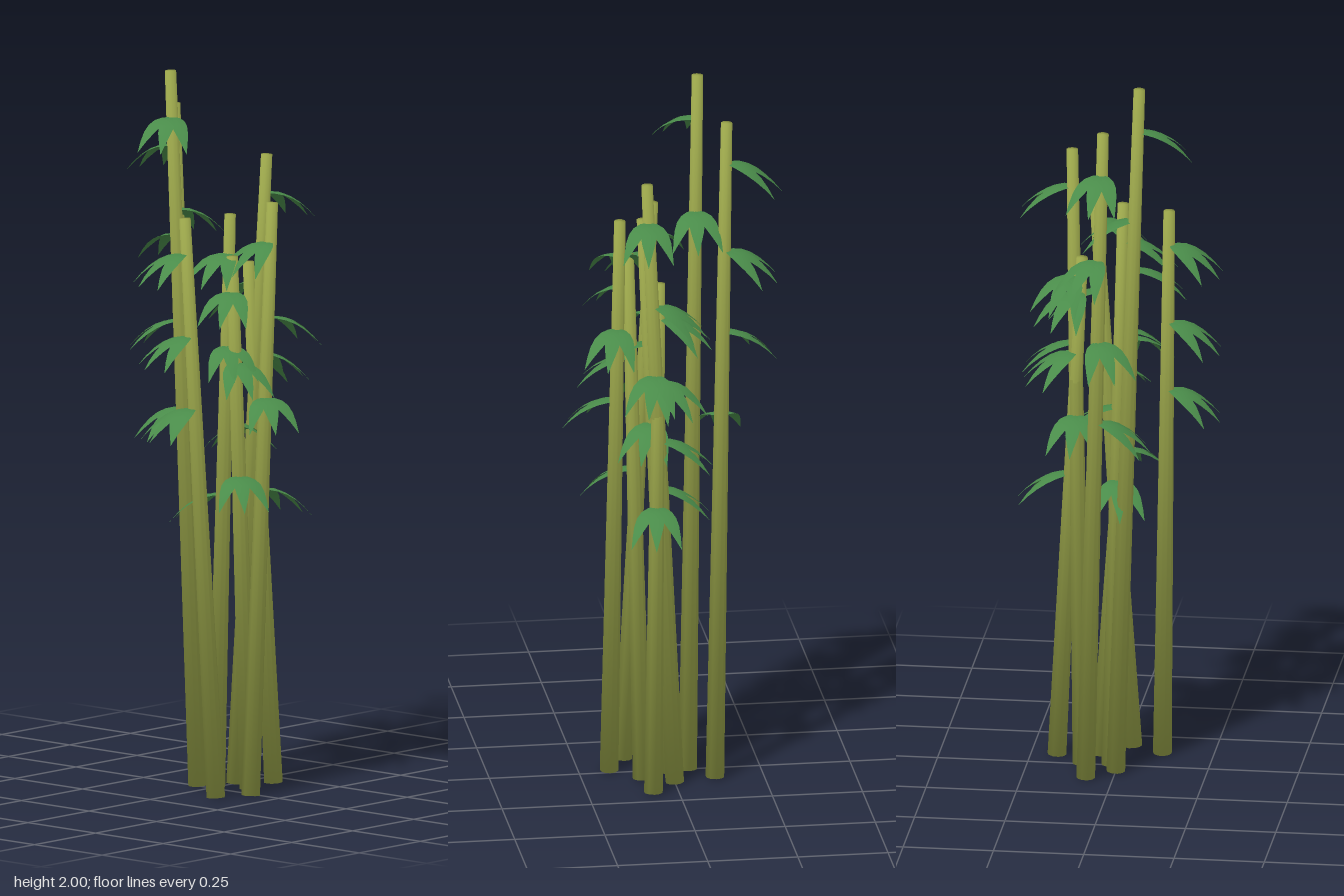
import * as THREE from 'three';
import { mergeVertices, mergeGeometries } from 'three/addons/utils/BufferGeometryUtils.js';

const caneGreen = new THREE.MeshStandardMaterial({ color: 0x9aa54a });
const leafGreen = new THREE.MeshStandardMaterial({ color: 0x4a8c4a, side: THREE.DoubleSide });

// Each cane: base [x, z], top [x, y, z], leaf fans [height, heading in degrees]
// Headings: 0 = +x, 90 = +z, 180 = -x, 270 = -z
const CANES = [
  { base: [-0.115, -0.075], top: [-0.155, 1.89, -0.022], fans: [[1.77, 187], [1.52, 206], [1.28, 155], [1.04, 91]] },
  { base: [-0.05, 0.0], top: [-0.087, 2.0, 0.07], fans: [[1.87, 60], [1.61, 275]] },
  { base: [0.0, -0.1], top: [0.082, 1.76, -0.137], fans: [[1.65, 278], [1.4, 200], [1.2, 285], [1.0, 180]] },
  { base: [0.07, -0.178], top: [0.043, 1.46, -0.105], fans: [[1.36, 205], [1.18, 240], [0.82, 278]] },
  { base: [0.165, 0.02], top: [0.15, 1.64, -0.085], fans: [[1.53, 92], [1.32, 288], [1.1, 37]] },
  { base: [0.0, -0.02], top: [0.075, 1.61, 0.005], fans: [[1.5, 78], [1.24, 40], [1.02, 290], [0.82, 170]] },
  { base: [0.085, -0.06], top: [0.11, 1.5, 0.035], fans: [[1.4, 62], [1.2, 30], [0.88, 42]] },
  { base: [0.115, 0.108], top: [0.028, 1.61, 0.138], fans: [[1.51, 108], [1.28, 105], [1.08, 102]] },
];

// Tapered cane with normals rounded over its ends
function caneGeometry(length) {
  const geo = new THREE.CylinderGeometry(0.016, 0.026, length, 10, 1);
  geo.deleteAttribute('normal');
  geo.deleteAttribute('uv');
  const welded = mergeVertices(geo, 1e-4);
  const pos = welded.attributes.position;
  const normals = new THREE.Float32BufferAttribute(pos.count * 3, 3);
  const n = new THREE.Vector3();
  for (let i = 0; i < pos.count; i++) {
    n.set(pos.getX(i), 0, pos.getZ(i)).normalize();
    n.y = 0.75 * Math.sign(pos.getY(i));
    n.normalize();
    normals.setXYZ(i, n.x, n.y, n.z);
  }
  welded.setAttribute('normal', normals);
  return welded;
}

// Pointed leaflet along +x that rises slightly and droops to the tip
function leafletGeometry(length) {
  const geo = new THREE.PlaneGeometry(1, 1, 6, 2);
  const pos = geo.attributes.position;
  for (let i = 0; i < pos.count; i++) {
    const t = pos.getX(i) + 0.5;
    const side = pos.getY(i) * 2;
    const bulge = Math.max(0, Math.sin(Math.PI * Math.pow(t, 0.85)));
    pos.setXYZ(i, t * length, 0.035 * t - 0.115 * t * t - 0.003 * Math.abs(side) * bulge, -side * 0.022 * bulge);
  }
  geo.computeVertexNormals();
  return geo;
}

// Fan of three leaflets
function fanGeometry() {
  const leaflets = [];
  for (let i = -1; i <= 1; i++) {
    const leaflet = leafletGeometry(0.155 - 0.005 * Math.abs(i));
    leaflet.rotateY(i * 0.48);
    leaflets.push(leaflet);
  }
  return mergeGeometries(leaflets);
}

export function createModel() {
  const model = new THREE.Group();
  model.name = 'bambooClump';
  const fan = fanGeometry();
  const up = new THREE.Vector3(0, 1, 0);

  CANES.forEach(({ base, top, fans }, n) => {
    const plant = new THREE.Group();
    plant.name = `bambooStalk${n + 1}`;
    const low = new THREE.Vector3(base[0], 0.003, base[1]);
    const high = new THREE.Vector3(...top);
    const axis = high.clone().sub(low);

    // Leaning cane
    const cane = new THREE.Mesh(caneGeometry(axis.length()), caneGreen);
    cane.name = 'cane';
    cane.position.copy(low).lerp(high, 0.5);
    cane.quaternion.setFromUnitVectors(up, axis.clone().normalize());
    plant.add(cane);

    // Leaf fans rooted on the cane
    for (const [height, heading] of fans) {
      const leaves = new THREE.Mesh(fan, leafGreen);
      leaves.name = 'leafFan';
      leaves.position.copy(low).lerp(high, height / top[1]);
      leaves.rotation.y = -THREE.MathUtils.degToRad(heading);
      plant.add(leaves);
    }
    model.add(plant);
  });
  return model;
}
